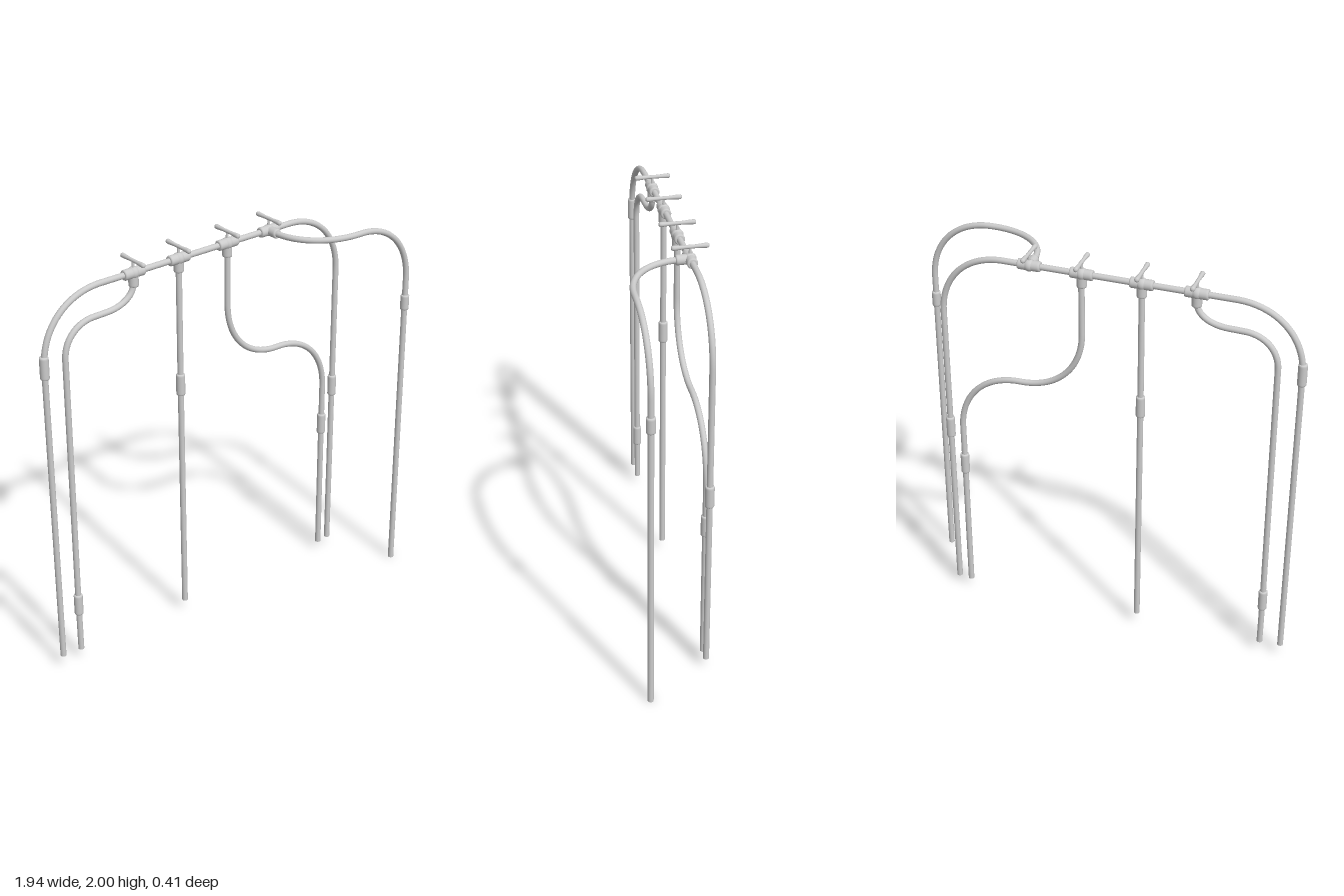
import * as THREE from 'three';

const MAIN_Z = -0.12, TOP_Y = 1.93, PIPE_R = 0.0145;
const mat = new THREE.MeshStandardMaterial({ color: 0xcccccc });
const V = (x, y, z = MAIN_Z) => new THREE.Vector3(x, y, z);

function add(parent, name, geometry, position) {
  const mesh = new THREE.Mesh(geometry, mat);
  mesh.name = name;
  if (position) mesh.position.copy(position);
  parent.add(mesh);
  return mesh;
}

// Path of straight runs joined by round corners; a corner is { p, a, b } with its
// tangent lengths before (a) and after (b) the corner point.
function bentPath(start, corners, end) {
  const path = new THREE.CurvePath();
  const line = (a, b) => { if (a.distanceTo(b) > 1e-4) path.add(new THREE.LineCurve3(a, b)); };
  let last = start;
  corners.forEach(({ p, a, b }, i) => {
    const prev = i ? corners[i - 1].p : start;
    const next = i < corners.length - 1 ? corners[i + 1].p : end;
    const p0 = p.clone().add(prev.clone().sub(p).setLength(a));
    const p3 = p.clone().add(next.clone().sub(p).setLength(b));
    line(last, p0);
    path.add(new THREE.CubicBezierCurve3(p0, p0.clone().lerp(p, 0.59), p3.clone().lerp(p, 0.59), p3));
    last = p3;
  });
  line(last, end);
  return path;
}

function bentPipe(parent, name, start, corners, end) {
  add(parent, name, new THREE.TubeGeometry(bentPath(start, corners, end), 160, PIPE_R, 16, false));
}

// Straight round bar between two points
function bar(parent, name, a, b, r) {
  const mesh = add(parent, name, new THREE.CylinderGeometry(r, r, a.distanceTo(b), 16), a.clone().lerp(b, 0.5));
  mesh.quaternion.setFromUnitVectors(new THREE.Vector3(0, 1, 0), b.clone().sub(a).normalize());
}

// Sleeve with softly rounded rims, centred on its own y axis
function sleeve(length, r) {
  const h = length / 2, c = 0.006;
  const half = [[PIPE_R * 0.8, -h], [r - c, -h], [r - c * 0.3, -h + c * 0.3], [r, -h + c], [r, -h + c * 2]];
  const mirrored = half.map(([x, y]) => [x, -y]).reverse();
  return new THREE.LatheGeometry([...half, ...mirrored].map(([x, y]) => new THREE.Vector2(x, y)), 20);
}

// Coupling and the lower leg hanging from it
function leg(parent, x, z, couplingY, couplingLength, footX, footY) {
  add(parent, 'coupling', sleeve(couplingLength, 0.0215), V(x, couplingY, z));
  bar(parent, 'lowerLeg', V(x, couplingY, z), V(footX, footY, z), PIPE_R);
}

// Tee valve: body along x, one outlet, stem and bow-tie handle along z
function valve(parent, x, outletForward) {
  const g = new THREE.Group();
  g.name = 'valve';
  g.position.set(x, TOP_Y, MAIN_Z);
  add(g, 'valveBody', sleeve(0.11, 0.025)).rotation.z = Math.PI / 2;
  add(g, 'valveCore', new THREE.SphereGeometry(0.029, 20, 14));
  const outlet = add(g, 'valveOutlet', sleeve(0.064, 0.0235));
  if (outletForward) {
    outlet.rotation.x = Math.PI / 2;
    outlet.position.z = 0.034;
  } else outlet.position.y = -0.034;
  add(g, 'valveStem', new THREE.CylinderGeometry(0.005, 0.008, 0.04, 12), new THREE.Vector3(0, 0.04, 0));
  const half = [[0, -0.086], [0.007, -0.085], [0.011, -0.08], [0.0115, -0.07], [0.0085, -0.025], [0.009, 0]];
  const mirrored = half.slice(0, -1).reverse().map(([r, y]) => [r, -y]);
  const profile = [...half, ...mirrored].map(([r, y]) => new THREE.Vector2(r, y));
  add(g, 'valveHandle', new THREE.LatheGeometry(profile, 14), new THREE.Vector3(0, 0.0585, 0)).rotation.x = Math.PI / 2;
  parent.add(g);
}

export function createModel() {
  const model = new THREE.Group();
  model.name = 'pipeFrame';
  const R = 0.315;

  // Main rail bending down at both ends
  bentPipe(model, 'mainRail', V(-0.952, 1.6),
    [{ p: V(-0.952, TOP_Y), a: R, b: R }, { p: V(0.767, TOP_Y), a: R, b: R }], V(0.767, 0.97));
  leg(model, -0.952, MAIN_Z, 1.612, 0.11, -0.943, 0.062);
  leg(model, 0.767, MAIN_Z, 0.97, 0.11, 0.767, 0.052);

  // Short offset branch on the right side
  bentPipe(model, 'shortOffsetBranch', V(-0.46, 1.9),
    [{ p: V(-0.46, 1.784), a: 0.1, b: 0.15 }, { p: V(-0.841, 1.775), a: 0.16, b: 0.16 }], V(-0.841, 0.32));
  leg(model, -0.841, MAIN_Z, 0.315, 0.11, -0.839, 0.055);

  // Straight drop
  bar(model, 'straightBranch', V(-0.206, 1.9), V(-0.206, 1.29), PIPE_R);
  leg(model, -0.206, MAIN_Z, 1.29, 0.11, -0.201, 0.062);

  // Long S-shaped branch
  bentPipe(model, 'longOffsetBranch', V(0.079, 1.9),
    [{ p: V(0.079, 1.305), a: R, b: 0.305 }, { p: V(0.701, 1.3), a: 0.305, b: R }], V(0.701, 0.77));
  leg(model, 0.701, MAIN_Z, 0.769, 0.11, 0.703, 0.047);

  // Forward branch: sweeps out, runs sideways, then drops
  const frontZ = 0.187;
  bentPipe(model, 'forwardBranch', V(0.328, TOP_Y, -0.1),
    [{ p: V(0.328, TOP_Y, frontZ), a: 0.26, b: 0.3 }, { p: V(0.95, TOP_Y, frontZ), a: R, b: R }],
    V(0.95, 1.49, frontZ));
  leg(model, 0.95, frontZ, 1.49, 0.078, 0.952, 0);

  [-0.46, -0.206, 0.077, 0.328].forEach((x, i) => valve(model, x, i === 3));
  return model;
}
